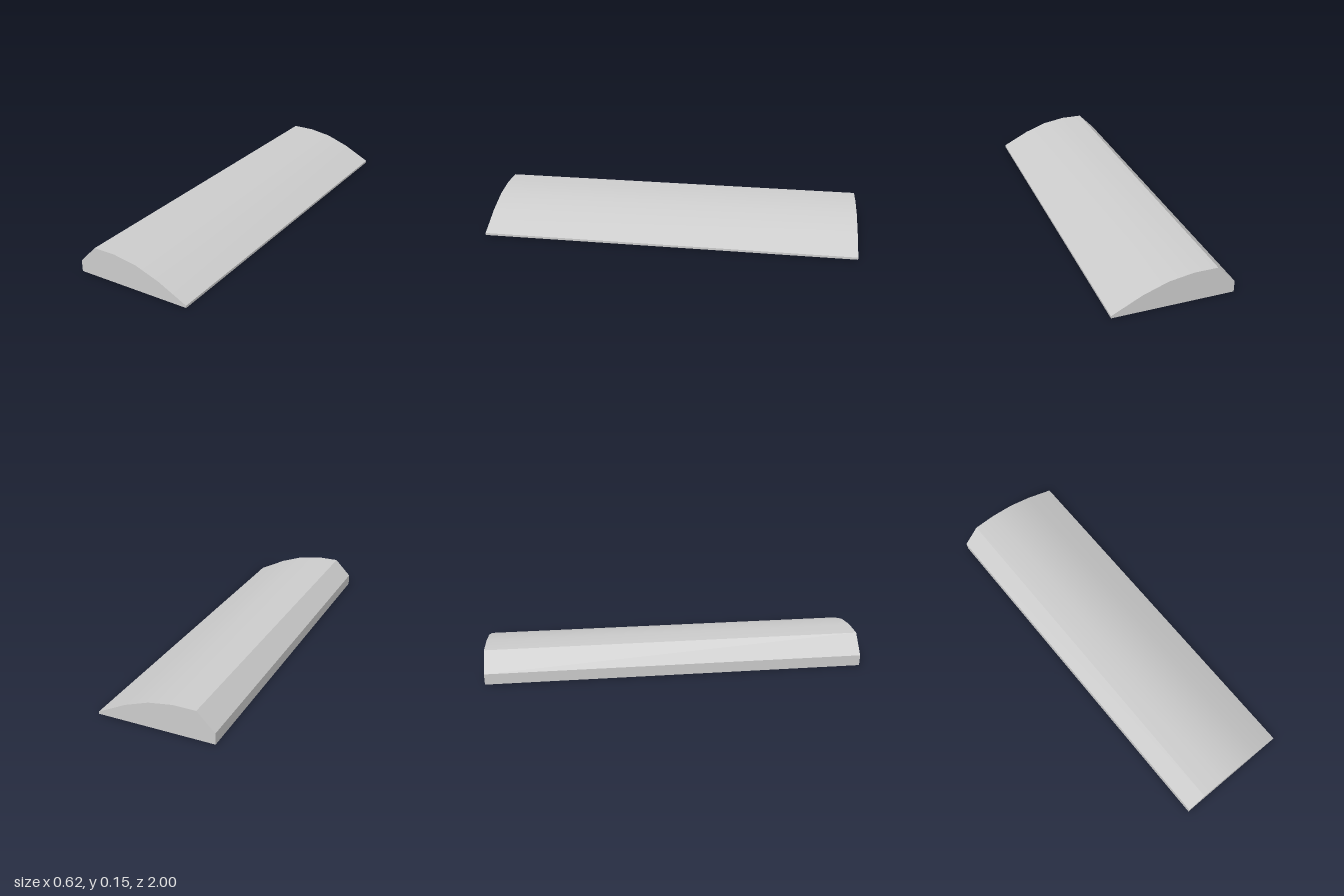
import * as THREE from 'three';
import { toCreasedNormals } from 'three/addons/utils/BufferGeometryUtils.js';

export function createModel() {
  const group = new THREE.Group();
  group.name = 'curvedWedgeBar';

  // Cross-section: flat base, thin +x edge, curved top, bevel and upright -x edge
  const profile = [
    [-0.308, 0], [0.308, 0], [0.308, 0.012],
    [0.157, 0.088], [0.031, 0.133], [-0.095, 0.153], [-0.216, 0.153],
    [-0.308, 0.059],
  ];
  const shape = new THREE.Shape(profile.map(([x, y]) => new THREE.Vector2(x, y)));

  // Straight run along z, with the curved top shaded smooth
  const length = 2;
  const geometry = new THREE.ExtrudeGeometry(shape, { depth: length, bevelEnabled: false });
  geometry.translate(0, 0, -length / 2);

  const bar = new THREE.Mesh(
    toCreasedNormals(geometry, Math.PI / 6),
    new THREE.MeshStandardMaterial({ color: 0xcccccc })
  );
  bar.name = 'bar';
  group.add(bar);
  return group;
}
